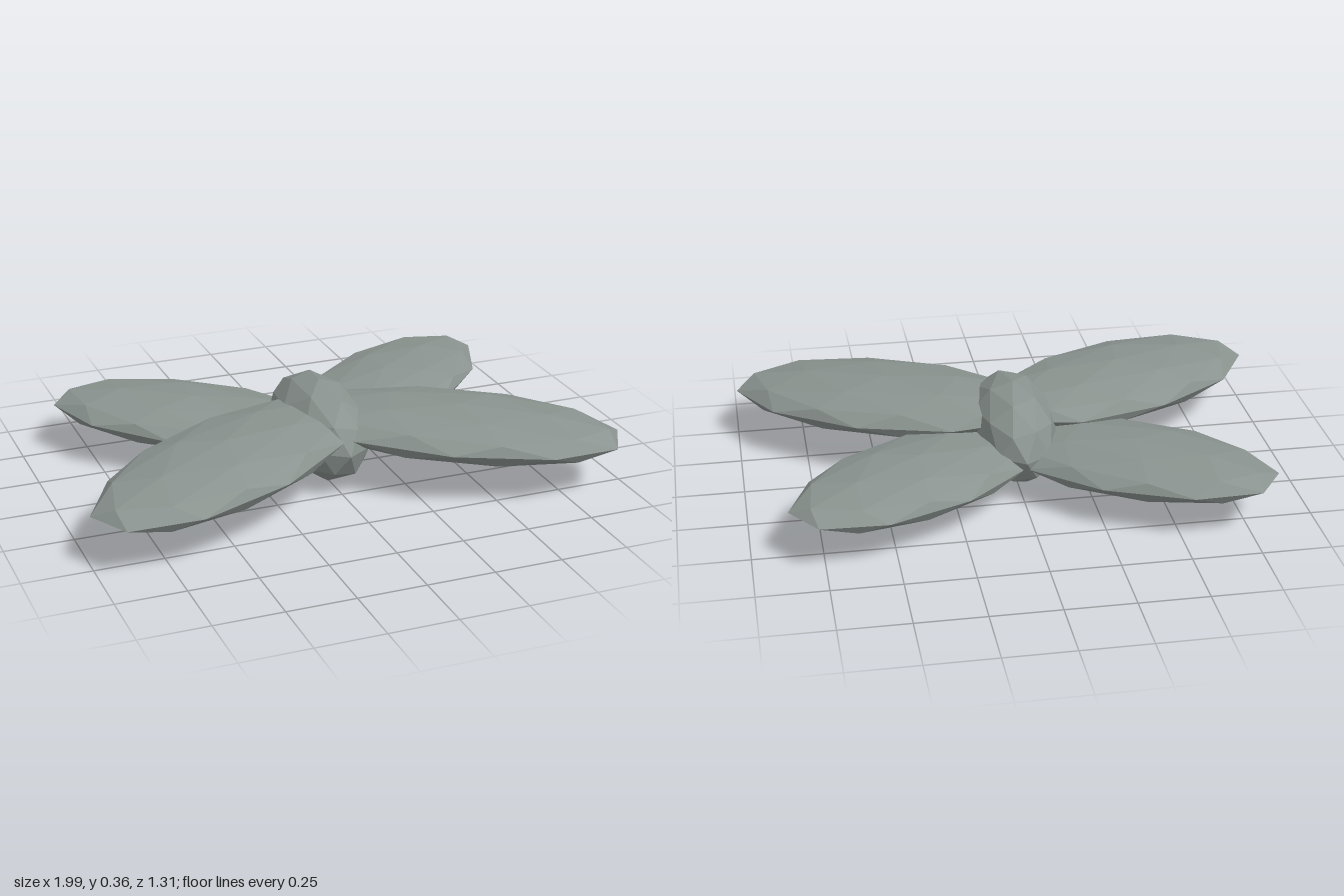
import * as THREE from 'three';

export function createModel() {
  const model = new THREE.Group();
  const stone = new THREE.MeshStandardMaterial({ color: 0x8a938f, flatShading: true });
  stone.name = 'greyGreen';

  // Faceted ball with a vertex pointing up, stretched to the given half sizes
  function facetedBall(name, rx, ry, rz) {
    const geometry = new THREE.IcosahedronGeometry(1, 1);
    geometry.rotateZ(-Math.atan(2 / (1 + Math.sqrt(5))));
    geometry.scale(rx, ry, rz);
    geometry.computeVertexNormals();
    const mesh = new THREE.Mesh(geometry, stone);
    mesh.name = name;
    return mesh;
  }

  // Central body
  const body = facetedBall('body', 0.16, 0.182, 0.32);
  body.position.set(0, 0.184, 0.015);
  model.add(body);

  // Two pairs of flat wings; yaw turns each outward, tilt raises or lowers its tip
  const wings = [
    { name: 'frontWing', size: [0.61, 0.086, 0.287], at: [0.445, 0.216, 0.277], yaw: -28.4, tilt: -2.5 },
    { name: 'backWing', size: [0.552, 0.08, 0.268], at: [0.39, 0.164, -0.285], yaw: 35.2, tilt: 2.3 },
  ];
  for (const { name, size, at, yaw, tilt } of wings) {
    for (const side of [1, -1]) {
      const wing = facetedBall((side > 0 ? 'left ' : 'right ') + name, ...size);
      wing.position.set(side * at[0], at[1], at[2]);
      const turn = THREE.MathUtils.degToRad(side > 0 ? yaw : 180 - yaw);
      wing.rotation.set(0, turn, THREE.MathUtils.degToRad(tilt), 'YXZ');
      model.add(wing);
    }
  }
  return model;
}
